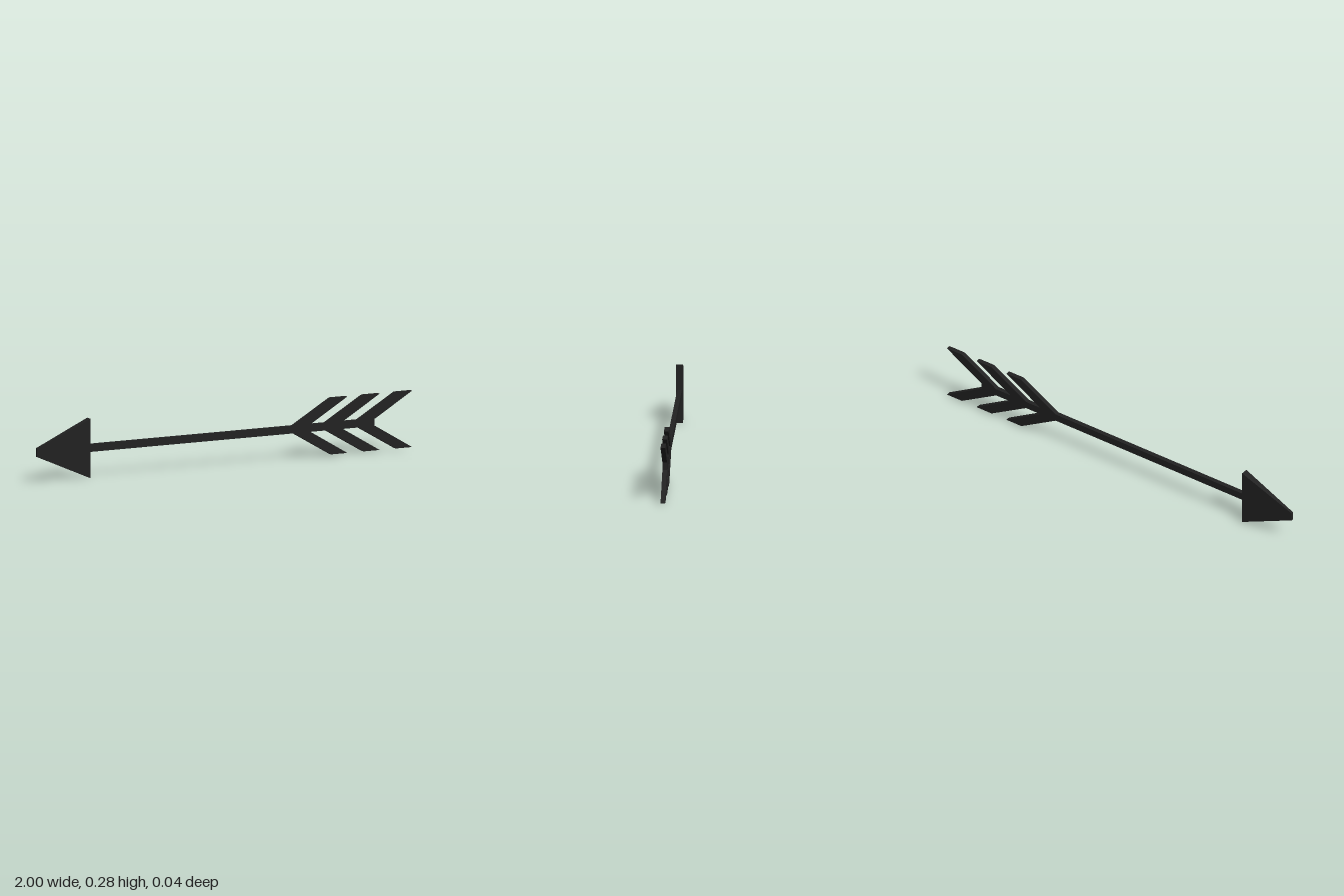
import * as THREE from 'three';

const MID = 0.142;        // height of the arrow's axis
const SHAFT_H = 0.036;
const THICK = 0.022;

export function createModel() {
  const arrow = new THREE.Group();
  arrow.name = 'arrow';
  const material = new THREE.MeshStandardMaterial({ color: 0x222222, flatShading: true });

  function add(name, geometry, x = 0, y = MID, z = 0) {
    const mesh = new THREE.Mesh(geometry, material);
    mesh.name = name;
    mesh.position.set(x, y, z);
    arrow.add(mesh);
  }

  // Straight square-edged shaft, from inside the head to the last feather
  const shaftStart = -0.73, shaftEnd = 0.8;
  add('shaft', new THREE.BoxGeometry(shaftEnd - shaftStart, SHAFT_H, THICK), (shaftStart + shaftEnd) / 2);

  // Head: a box whose -x end is pinched to a small blunt tip
  const headLength = 0.28;
  const head = new THREE.BoxGeometry(headLength, 0.284, 0.035);
  const p = head.attributes.position;
  for (let i = 0; i < p.count; i++) {
    if (p.getX(i) < 0) {
      p.setY(i, Math.sign(p.getY(i)) * 0.02);
      p.setZ(i, Math.sign(p.getZ(i)) * 0.006);
    }
  }
  head.computeVertexNormals();
  add('arrowHead', head, -1 + headLength / 2);

  // Three pairs of swept-back feathers, mirrored above and below the shaft
  const root = SHAFT_H / 2, tip = 0.135;
  for (let i = 0; i < 3; i++) {
    for (const side of [1, -1]) {
      const shape = new THREE.Shape([
        new THREE.Vector2(0, side * root),
        new THREE.Vector2(0.2, side * tip),
        new THREE.Vector2(0.287, side * tip),
        new THREE.Vector2(0.09, side * root),
      ]);
      const feather = new THREE.ExtrudeGeometry(shape, { depth: THICK, bevelEnabled: false });
      add(side > 0 ? 'upperFeather' : 'lowerFeather', feather, 0.367 + i * 0.173, MID, -THICK / 2);
    }
  }
  return arrow;
}
